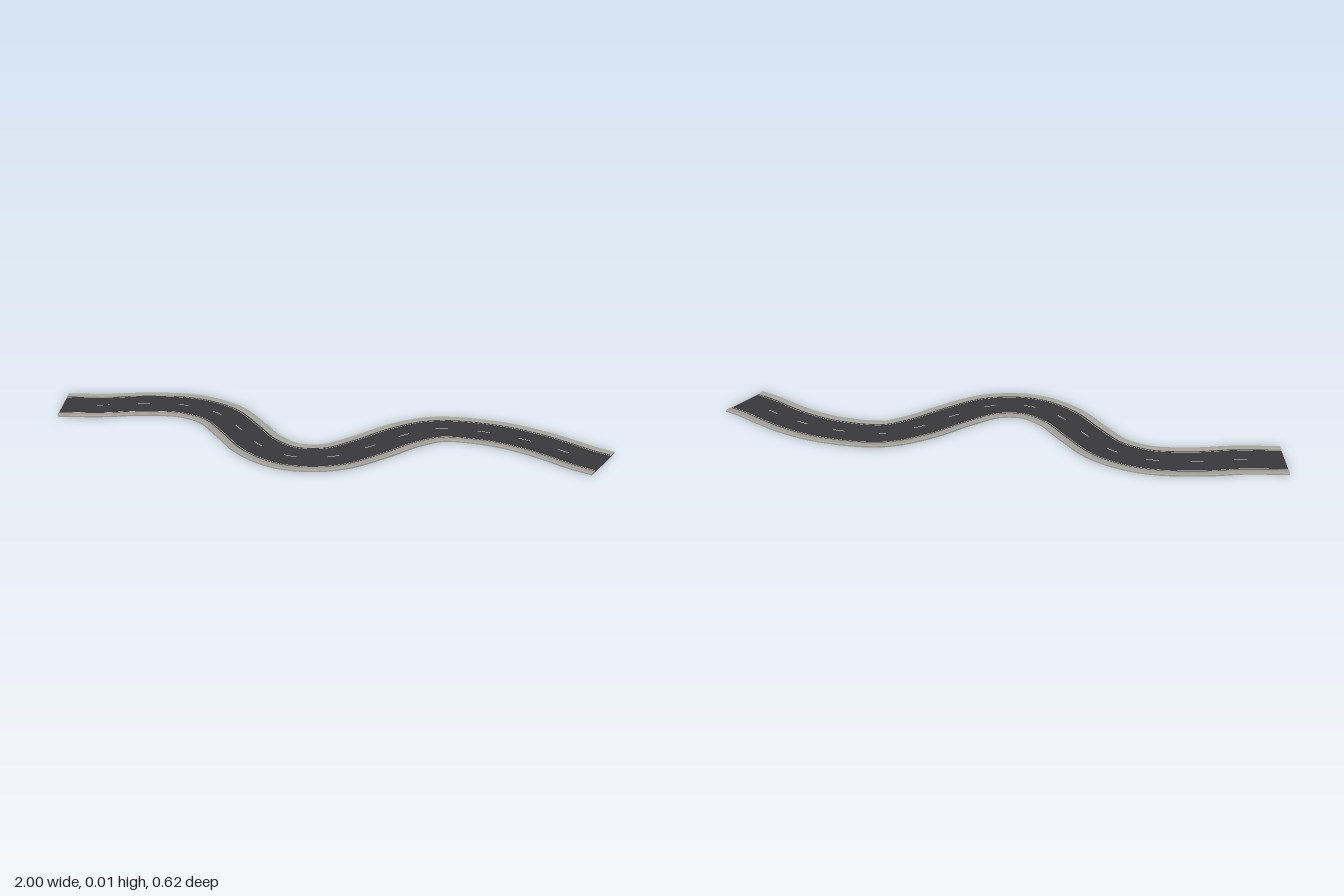
import * as THREE from 'three';
import { toCreasedNormals } from 'three/addons/utils/BufferGeometryUtils.js';

// Centreline of the road, as [x, z]
const route = [
  [-0.967, 0.122], [-0.826, 0.073], [-0.68, 0.003], [-0.525, -0.037], [-0.388, -0.011],
  [-0.265, 0.078], [-0.152, 0.168], [-0.022, 0.209], [0.108, 0.165], [0.203, 0.05],
  [0.29, -0.085], [0.39, -0.178], [0.575, -0.213], [0.72, -0.197], [0.826, -0.166],
  [0.905, -0.138], [0.981, -0.12],
];
const path = new THREE.CatmullRomCurve3(route.map(([x, z]) => new THREE.Vector3(x, 0, z)));
path.arcLengthDivisions = 600;

// Sweeps a closed convex profile of [offset, height] (counter-clockwise) along part of the path
function sweep(profile, from = 0, to = 1, steps = 140) {
  const n = profile.length, positions = [], index = [];
  for (let i = 0; i <= steps; i++) {
    const t = from + (to - from) * i / steps;
    const p = path.getPointAt(t), d = path.getTangentAt(t);
    for (const [u, v] of profile) positions.push(p.x - d.z * u, v, p.z + d.x * u);
  }
  for (let i = 0; i < steps; i++) {
    for (let j = 0; j < n; j++) {
      const a = i * n + j, b = i * n + (j + 1) % n;
      index.push(a, a + n, b + n, a, b + n, b);
    }
  }
  // End caps
  const last = steps * n;
  for (let j = 1; j < n - 1; j++) {
    index.push(0, j, j + 1, last, last + j + 1, last + j);
  }
  const geometry = new THREE.BufferGeometry();
  geometry.setAttribute('position', new THREE.Float32BufferAttribute(positions, 3));
  geometry.setIndex(index);
  return toCreasedNormals(geometry, 0.5);
}

const box = (u0, u1, v0, v1) => [[u0, v0], [u1, v0], [u1, v1], [u0, v1]];

export function createModel() {
  const model = new THREE.Group();
  model.name = 'windingRoad';
  const asphalt = new THREE.MeshStandardMaterial({ color: 0x38383c });
  const concrete = new THREE.MeshStandardMaterial({ color: 0xa3a39b });
  const paint = new THREE.MeshStandardMaterial({ color: 0xd8d8cc });

  const add = (name, geometry, material, parent = model) => {
    const mesh = new THREE.Mesh(geometry, material);
    mesh.name = name;
    parent.add(mesh);
  };

  // Roadway
  add('roadSurface', sweep(box(-0.072, 0.072, 0, 0.004)), asphalt);

  // Kerbs with chamfered tops, and the thin lines beside them
  for (const [side, s] of [['right', 1], ['left', -1]]) {
    const kerb = [[0.072, 0], [0.098, 0], [0.098, 0.005], [0.095, 0.007], [0.075, 0.007], [0.072, 0.0055]];
    const profile = kerb.map(([u, v]) => [u * s, v]);
    if (s < 0) profile.reverse();
    add(side + 'Kerb', sweep(profile), concrete);
    add(side + 'EdgeLine', sweep(box(s * 0.065 - 0.0008, s * 0.065 + 0.0008, 0.0035, 0.0043)), paint);
  }

  // Broken centre line
  const dashes = new THREE.Group();
  dashes.name = 'centreLine';
  model.add(dashes);
  for (let k = 1; k < 15; k++) {
    const t = k / 15;
    add('laneDash', sweep(box(-0.0015, 0.0015, 0.0035, 0.0043), t - 0.01, t + 0.01, 6), paint, dashes);
  }
  return model;
}
